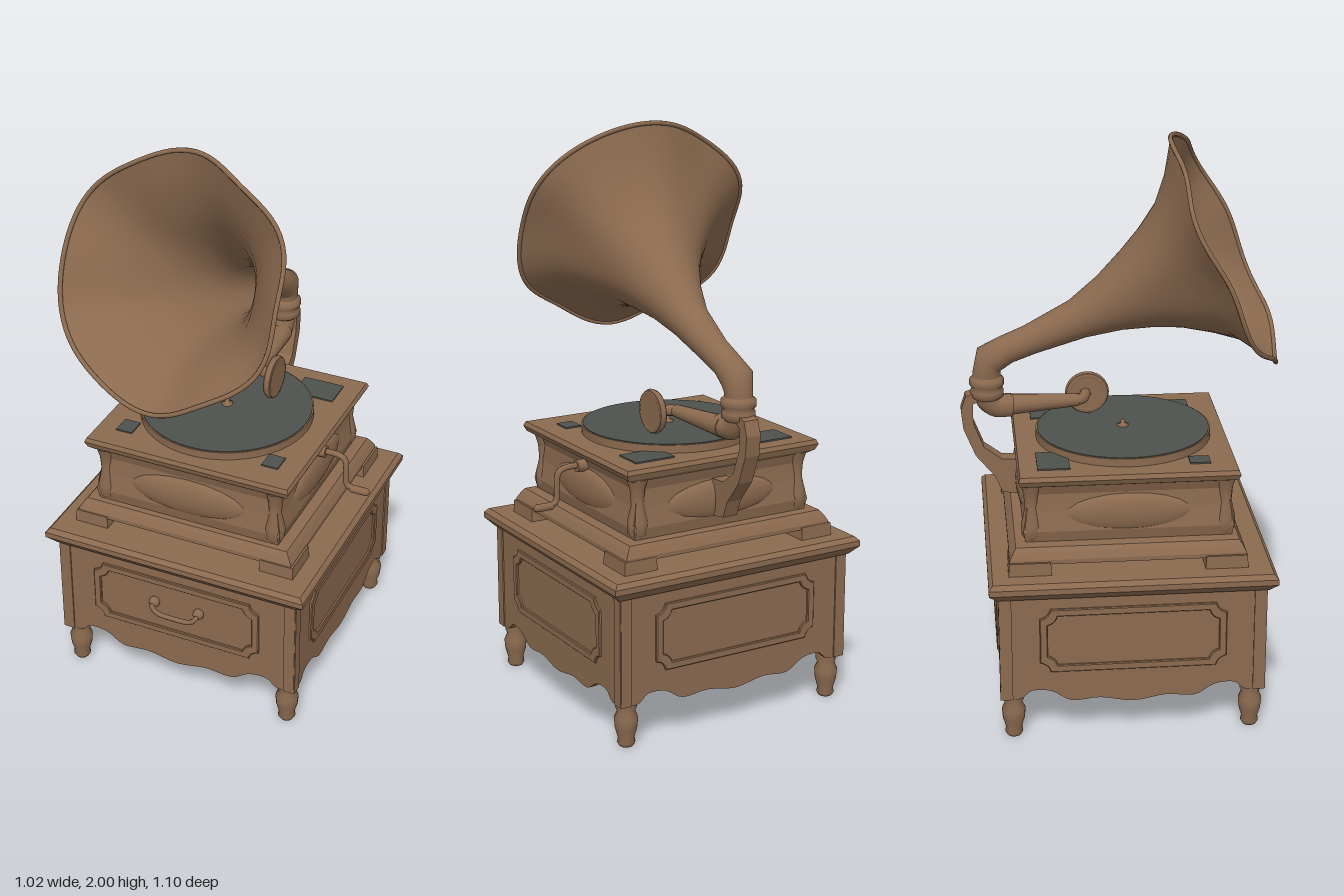
import * as THREE from 'three';

const brown = new THREE.MeshStandardMaterial({ color: 0x8b6a4f, side: THREE.DoubleSide });
brown.name = 'brown wood';
const grey = new THREE.MeshStandardMaterial({ color: 0x4e524e });
grey.name = 'dark grey';

const CX = -0.025, CZ = 0.005;
const V = (x, y, z) => new THREE.Vector3(x, y, z);

export function createModel() {
  const root = new THREE.Group();
  root.name = 'gramophone';

  const add = (name, geo, x = 0, y = 0, z = 0, mat = brown, parent = root) => {
    const m = new THREE.Mesh(geo, mat);
    m.name = name;
    m.position.set(x, y, z);
    parent.add(m);
    return m;
  };
  const tube = (name, pts, r, parent = root, closed = false, n = 24) =>
    add(name, new THREE.TubeGeometry(new THREE.CatmullRomCurve3(pts, closed, 'centripetal'), n, r, 8, closed), 0, 0, 0, brown, parent);
  const lathe = (pts, n = 16) => new THREE.LatheGeometry(pts.map(p => new THREE.Vector2(...p)), n);

  // rectangular solid following a moulding profile of [half x, half z, y]
  const tiered = (profile) => {
    const pos = [], idx = [];
    const corners = [[1, 1], [1, -1], [-1, -1], [-1, 1]];
    for (const [hx, hz, y] of profile) for (const [a, b] of corners) pos.push(a * hx, y, b * hz);
    for (let i = 0; i < profile.length - 1; i++) for (let k = 0; k < 4; k++) {
      const a = i * 4 + k, b = i * 4 + (k + 1) % 4;
      idx.push(a, b, b + 4, a, b + 4, a + 4);
    }
    const t = (profile.length - 1) * 4;
    idx.push(2, 1, 0, 3, 2, 0, t, t + 1, t + 2, t, t + 2, t + 3);
    const g = new THREE.BufferGeometry();
    g.setAttribute('position', new THREE.Float32BufferAttribute(pos, 3));
    g.setIndex(idx);
    const flat = g.toNonIndexed();
    flat.computeVertexNormals();
    return flat;
  };

  // rectangle with scooped corners
  const scooped = (Type, w, h, r) => {
    const s = new Type();
    s.moveTo(-w + r, -h);
    s.lineTo(w - r, -h);
    s.quadraticCurveTo(w - r * 0.8, -h + r * 0.8, w, -h + r);
    s.lineTo(w, h - r);
    s.quadraticCurveTo(w - r * 0.8, h - r * 0.8, w - r, h);
    s.lineTo(-w + r, h);
    s.quadraticCurveTo(-w + r * 0.8, h - r * 0.8, -w, h - r);
    s.lineTo(-w, -h + r);
    s.quadraticCurveTo(-w + r * 0.8, -h + r * 0.8, -w + r, -h);
    return s;
  };

  // cabinet walls with scalloped aprons and panel frames
  const half = [[1, 0.16], [0.86, 0.155], [0.77, 0.185], [0.62, 0.18], [0.47, 0.142], [0.25, 0.148], [0, 0.13]];
  const edge = [...half.map(([u, y]) => [-u, y]), ...half.slice(0, -1).reverse()];
  const wave = new THREE.SplineCurve(edge.map(([u, y]) => new THREE.Vector2(u * 0.45, y))).getPoints(48);
  const wallShape = new THREE.Shape([...wave, new THREE.Vector2(0.45, 0.56), new THREE.Vector2(-0.45, 0.56)]);
  const wallGeo = new THREE.ExtrudeGeometry(wallShape, { depth: 0.025, bevelEnabled: false });
  const frameShape = scooped(THREE.Shape, 0.315, 0.115, 0.035);
  frameShape.holes.push(scooped(THREE.Path, 0.295, 0.095, 0.035));
  const frameGeo = new THREE.ExtrudeGeometry(frameShape, { depth: 0.006, bevelEnabled: true, bevelSize: 0.003, bevelThickness: 0.003, bevelSegments: 1 });
  for (let i = 0; i < 4; i++) {
    const side = new THREE.Group();
    side.name = 'cabinetSide';
    side.position.set(CX, 0, 0.01);
    side.rotation.y = i * Math.PI / 2;
    root.add(side);
    add('cabinetWall', wallGeo, 0, 0, 0.425, brown, side);
    add('panelFrame', frameGeo, 0, 0.375, 0.45, brown, side);
    add('cornerStile', new THREE.BoxGeometry(0.04, 0.4, 0.03), 0.432, 0.355, 0.44, brown, side);
    add('cornerStile', new THREE.BoxGeometry(0.04, 0.4, 0.03), -0.432, 0.355, 0.44, brown, side);
  }
  add('cabinetFloor', new THREE.BoxGeometry(0.86, 0.02, 0.86), CX, 0.22, 0.01);
  add('cabinetTop', tiered([[0.46, 0.46, 0.535], [0.475, 0.472, 0.55], [0.49, 0.486, 0.565], [0.49, 0.486, 0.585], [0.475, 0.472, 0.6]]), CX, 0, 0.01);

  // turned legs and bracket feet of the upper plinth
  const legGeo = lathe([[0, 0], [0.024, 0], [0.031, 0.012], [0.028, 0.03], [0.038, 0.065], [0.041, 0.1], [0.03, 0.125], [0.037, 0.14], [0.035, 0.23]]);
  for (const sx of [-1, 1]) for (const sz of [-1, 1]) {
    add('leg', legGeo, CX + sx * 0.41, 0, 0.01 + sz * 0.41);
    const foot = add('plinthFoot', tiered([[0.0625, 0.0725, 0.598], [0.06, 0.07, 0.645]]), CX + sx * 0.3525, 0, sz * 0.3325);
    foot.position.z -= 0.002;
  }
  add('plinth', tiered([[0.405, 0.4, 0.637], [0.405, 0.4, 0.652], [0.392, 0.388, 0.675], [0.38, 0.378, 0.69], [0.35, 0.35, 0.692]]), CX, 0, -0.002);

  // motor box with corner pilasters
  add('motorBox', tiered([[0.34, 0.35, 0.69], [0.348, 0.357, 0.73], [0.335, 0.345, 0.8], [0.33, 0.34, 0.86], [0.345, 0.352, 0.9]]), CX, 0, CZ);
  add('motorBoxLid', tiered([[0.35, 0.355, 0.895], [0.372, 0.365, 0.905], [0.382, 0.372, 0.925], [0.375, 0.366, 0.94]]), CX, 0, CZ);
  const pilaster = lathe([[0.02, 0.69], [0.034, 0.71], [0.036, 0.75], [0.022, 0.81], [0.026, 0.86], [0.038, 0.9]], 10);
  for (const sx of [-1, 1]) for (const sz of [-1, 1]) add('cornerPilaster', pilaster, CX + sx * 0.318, 0, CZ + sz * 0.328);
  for (let i = 0; i < 4; i++) {
    const bulge = add('carvedBulge', new THREE.SphereGeometry(1, 20, 10), CX, 0.785, CZ);
    bulge.scale.set(0.22, 0.07, 0.03);
    bulge.rotation.y = i * Math.PI / 2;
    bulge.position.add(V(Math.sin(bulge.rotation.y) * 0.328, 0, Math.cos(bulge.rotation.y) * 0.34));
  }

  // platter, record and corner plates
  add('platter', new THREE.CylinderGeometry(0.305, 0.305, 0.03, 48), -0.03, 0.953, 0.015);
  add('record', new THREE.CylinderGeometry(0.3, 0.3, 0.006, 48), -0.03, 0.968, 0.015, grey);
  add('spindle', lathe([[0.02, 0.96], [0.02, 0.975], [0.008, 0.978], [0.007, 0.992], [0, 0.995]], 10), -0.03, 0, 0.015);
  for (const [x, z, w, d] of [[-0.265, -0.245, 0.15, 0.11], [0.21, -0.245, 0.15, 0.11], [0.245, 0.24, 0.06, 0.07], [-0.3, 0.25, 0.06, 0.07]])
    add('cornerPlate', new THREE.BoxGeometry(w, 0.006, d), x, 0.942, z, grey);

  // winding crank
  tube('crank', [V(0.3, 0.865, 0.005), V(0.39, 0.865, 0.005), V(0.415, 0.85, 0.005), V(0.42, 0.79, 0.005), V(0.425, 0.75, 0.005), V(0.445, 0.74, 0.005), V(0.5, 0.738, 0.005)], 0.011);
  add('crankKnob', new THREE.CapsuleGeometry(0.014, 0.05, 4, 10), 0.47, 0.738, 0.005).rotation.z = Math.PI / 2;
  add('crankCollar', new THREE.CylinderGeometry(0.022, 0.022, 0.04, 12), 0.325, 0.865, 0.005).rotation.z = Math.PI / 2;

  // drawer pull
  tube('drawerHandle', [V(-0.105, 0.395, 0.46), V(-0.105, 0.385, 0.488), V(-0.085, 0.365, 0.492), V(-0.02, 0.36, 0.494), V(0.045, 0.365, 0.492), V(0.065, 0.385, 0.488), V(0.065, 0.395, 0.46)], 0.009);
  for (const x of [-0.105, 0.065]) add('handleBoss', new THREE.SphereGeometry(0.02, 12, 8), x, 0.39, 0.468);

  // rear support bracket
  const outline = new THREE.Shape([[-0.34, 0.73], [-0.41, 0.74], [-0.435, 0.8], [-0.5, 0.88], [-0.54, 0.98], [-0.547, 1.05], [-0.53, 1.1], [-0.47, 1.12], [-0.47, 1.09], [-0.505, 1.07], [-0.505, 1], [-0.47, 0.91], [-0.41, 0.865], [-0.34, 0.86]].map(p => new THREE.Vector2(...p)));
  add('supportBracket', new THREE.ExtrudeGeometry(outline, { depth: 0.055, bevelEnabled: false }), 0.0125, 0, 0).rotation.y = -Math.PI / 2;

  // tone arm and sound box
  tube('toneArmElbow', [V(-0.015, 1.13, -0.455), V(-0.015, 1.085, -0.455), V(-0.01, 1.055, -0.43), V(0, 1.05, -0.37)], 0.042);
  const arm = add('toneArm', new THREE.CylinderGeometry(0.022, 0.038, 0.26, 14), 0.015, 1.05, -0.265);
  arm.rotation.set(Math.PI / 2, 0, -0.1);
  tube('toneArmTip', [V(0.025, 1.05, -0.16), V(0.032, 1.05, -0.13), V(0.055, 1.05, -0.115), V(0.1, 1.05, -0.105)], 0.02);
  add('soundBox', new THREE.CylinderGeometry(0.073, 0.073, 0.024, 24), 0.1, 1.05, -0.1).rotation.z = Math.PI / 2;
  add('soundBoxRim', new THREE.TorusGeometry(0.064, 0.014, 8, 24), 0.1, 1.05, -0.1).rotation.y = Math.PI / 2;
  tube('needle', [V(0.1, 0.99, -0.1), V(0.1, 0.972, -0.09)], 0.006);
  add('armCollar', lathe([[0.045, 1.085], [0.058, 1.095], [0.058, 1.115], [0.05, 1.125], [0.06, 1.135], [0.06, 1.155], [0.046, 1.168]]), -0.015, 0, -0.455);

  // horn rings: [x, y, z, radius, axis x, axis y, axis z, lobe strength]
  const rings = [
    [-0.015, 1.12, -0.455, 0.047, 0, 1, 0, 0],
    [-0.015, 1.18, -0.455, 0.048, 0, 1, 0, 0],
    [-0.015, 1.225, -0.445, 0.056, 0, 0.7, 0.7, 0],
    [-0.015, 1.259, -0.385, 0.05, 0, 0.43, 0.9, 0],
    [-0.015, 1.291, -0.305, 0.052, 0, 0.43, 0.9, 0],
    [-0.02, 1.363, -0.14, 0.07, -0.04, 0.43, 0.9, 0],
    [-0.028, 1.42, -0.03, 0.102, -0.06, 0.43, 0.9, 0],
    [-0.035, 1.47, 0.065, 0.143, -0.1, 0.43, 0.9, 0],
    [-0.046, 1.508, 0.14, 0.183, -0.12, 0.43, 0.9, 0.004],
    [-0.06, 1.547, 0.225, 0.242, -0.14, 0.43, 0.9, 0.01],
    [-0.07, 1.588, 0.288, 0.31, -0.14, 0.43, 0.9, 0.014],
    [-0.075, 1.602, 0.325, 0.365, -0.14, 0.43, 0.9, 0.02],
    [-0.08, 1.614, 0.36, 0.418, -0.14, 0.43, 0.9, 0.025],
  ];
  const N = 60, pos = [], idx = [], rim = [];
  rings.forEach(([x, y, z, r, nx, ny, nz, lobe], i) => {
    const n = V(nx, ny, nz).normalize();
    const v = n.clone().cross(V(1, 0, 0)).normalize(), u = v.clone().cross(n);
    for (let j = 0; j < N; j++) {
      const a = j / N * Math.PI * 2, w = Math.cos(6 * (a - Math.PI / 2));
      const rr = r * (1 + lobe * w);
      const p = V(x, y, z).addScaledVector(u, rr * Math.cos(a)).addScaledVector(v, rr * Math.sin(a)).addScaledVector(n, -lobe * 0.4 * w);
      pos.push(p.x, p.y, p.z);
      if (i === rings.length - 1) rim.push(p);
      else {
        const b = i * N + j, c = i * N + (j + 1) % N;
        idx.push(b, c, b + N, c, c + N, b + N);
      }
    }
  });
  const horn = new THREE.BufferGeometry();
  horn.setAttribute('position', new THREE.Float32BufferAttribute(pos, 3));
  horn.setIndex(idx);
  horn.computeVertexNormals();
  add('horn', horn);
  tube('hornRim', rim, 0.008, root, true, 90);

  return root;
}
